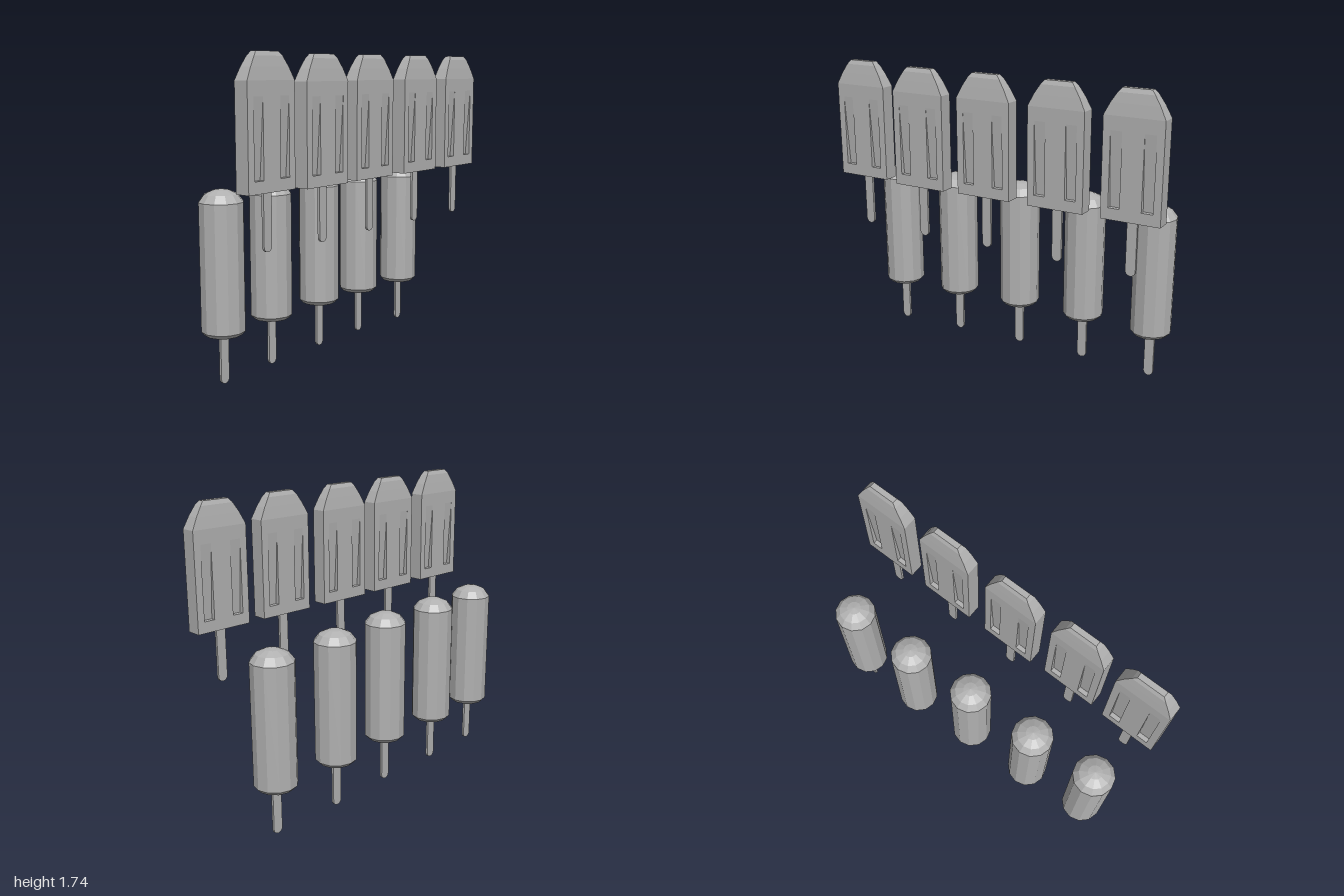
import * as THREE from 'three';
import { mergeGeometries } from 'three/addons/utils/BufferGeometryUtils.js';

const grey = new THREE.MeshStandardMaterial({ color: 0xb0b0b0 });
grey.name = 'plain grey';

// Faceted normals for a low-poly look
function facet(geometry) {
  const g = geometry.index ? geometry.toNonIndexed() : geometry;
  g.computeVertexNormals();
  return g;
}

// Flat bar: straight block with wedge grooves, tapering to a narrow top
function flatBarGeometry() {
  const tris = [];
  const tri = (a, b, c) => tris.push(...a, ...b, ...c);
  const quad = (a, b, c, d) => { tri(a, b, c); tri(a, c, d); };
  const W = 0.162, D = 0.042, groove = 0.026;
  // height, half width, half depth
  const sections = [[0, W, D], [0.534, W, D], [0.597, 0.13, 0.034], [0.648, 0.097, 0.026], [0.671, 0.077, 0.016]];
  const cols = [-W, -0.121, -0.059, 0.059, 0.121, W];
  const rows = [0, 0.062, 0.46, 0.534];

  // grooved front face
  for (let r = 0; r < 3; r++) {
    for (let c = 0; c < 5; c++) {
      const [x0, x1, y0, y1] = [cols[c], cols[c + 1], rows[r], rows[r + 1]];
      const cut = r === 1 && c % 2 === 1;
      const z = cut ? D - groove : D;
      quad([x0, y0, z], [x1, y0, z], [x1, y1, D], [x0, y1, D]);
      if (cut) {
        quad([x0, y0, D], [x1, y0, D], [x1, y0, z], [x0, y0, z]);
        tri([x0, y0, D], [x0, y0, z], [x0, y1, D]);
        tri([x1, y0, z], [x1, y0, D], [x1, y1, D]);
      }
    }
  }
  // right side all the way up, and the front of the tapered top
  for (let i = 0; i < sections.length - 1; i++) {
    const [y0, w0, d0] = sections[i], [y1, w1, d1] = sections[i + 1];
    quad([w0, y0, d0], [w0, y0, -d0], [w1, y1, -d1], [w1, y1, d1]);
    if (i > 0) quad([-w0, y0, d0], [w0, y0, d0], [w1, y1, d1], [-w1, y1, d1]);
  }
  // front halves of the two end caps
  const [ty, tw, td] = sections[sections.length - 1];
  quad([-tw, ty, td], [tw, ty, td], [tw, ty, 0], [-tw, ty, 0]);
  quad([-W, 0, 0], [W, 0, 0], [W, 0, D], [-W, 0, D]);

  const half = new THREE.BufferGeometry();
  half.setAttribute('position', new THREE.Float32BufferAttribute(tris, 3));
  return facet(mergeGeometries([half, half.clone().rotateY(Math.PI)]));
}

// Round bar: twelve-sided body with bevelled base and domed top
function roundBarGeometry() {
  const profile = [[0, 0], [0.096, 0], [0.117, 0.022], [0.117, 0.695], [0.087, 0.735], [0.04, 0.756], [0, 0.762]]
    .map(([x, y]) => new THREE.Vector2(x, y));
  return facet(new THREE.LatheGeometry(profile, 12));
}

// Thin stick hanging below y = 0, with a rounded lower end
function stickGeometry(length) {
  const r = 0.028, t = 0.014, top = 0.02;
  const s = new THREE.Shape();
  s.moveTo(r, top);
  s.lineTo(-r, top);
  s.lineTo(-r, r - length);
  s.absarc(0, r - length, r, Math.PI, Math.PI * 2, false);
  s.lineTo(r, top);
  return new THREE.ExtrudeGeometry(s, { depth: t, bevelEnabled: false, curveSegments: 8 }).translate(0, 0, -t / 2);
}

function makeBar(name, bodyGeometry, stick, [x, y, z]) {
  const bar = new THREE.Group();
  bar.name = name;
  const body = new THREE.Mesh(bodyGeometry, grey);
  body.name = 'iceBody';
  const handle = new THREE.Mesh(stick, grey);
  handle.name = 'stick';
  bar.add(body, handle);
  bar.position.set(x, y, z);
  return bar;
}

export function createModel() {
  const model = new THREE.Group();
  model.name = 'icePops';

  // front row, raised
  const flat = flatBarGeometry(), flatStick = stickGeometry(0.297);
  [[-0.838, 1.065, 0.234], [-0.437, 1.056, 0.245], [-0.023, 1.057, 0.234], [0.413, 1.056, 0.234], [0.837, 1.055, 0.234]]
    .forEach((p, i) => model.add(makeBar('flatBar' + (i + 1), flat, flatStick, p)));

  // back row, lower
  const round = roundBarGeometry(), roundStick = stickGeometry(0.266);
  [[-0.839, 0.291, -0.086], [-0.446, 0.289, -0.119], [-0.023, 0.289, -0.136], [0.388, 0.278, -0.165], [0.813, 0.267, -0.165]]
    .forEach((p, i) => model.add(makeBar('roundBar' + (i + 1), round, roundStick, p)));

  return model;
}
